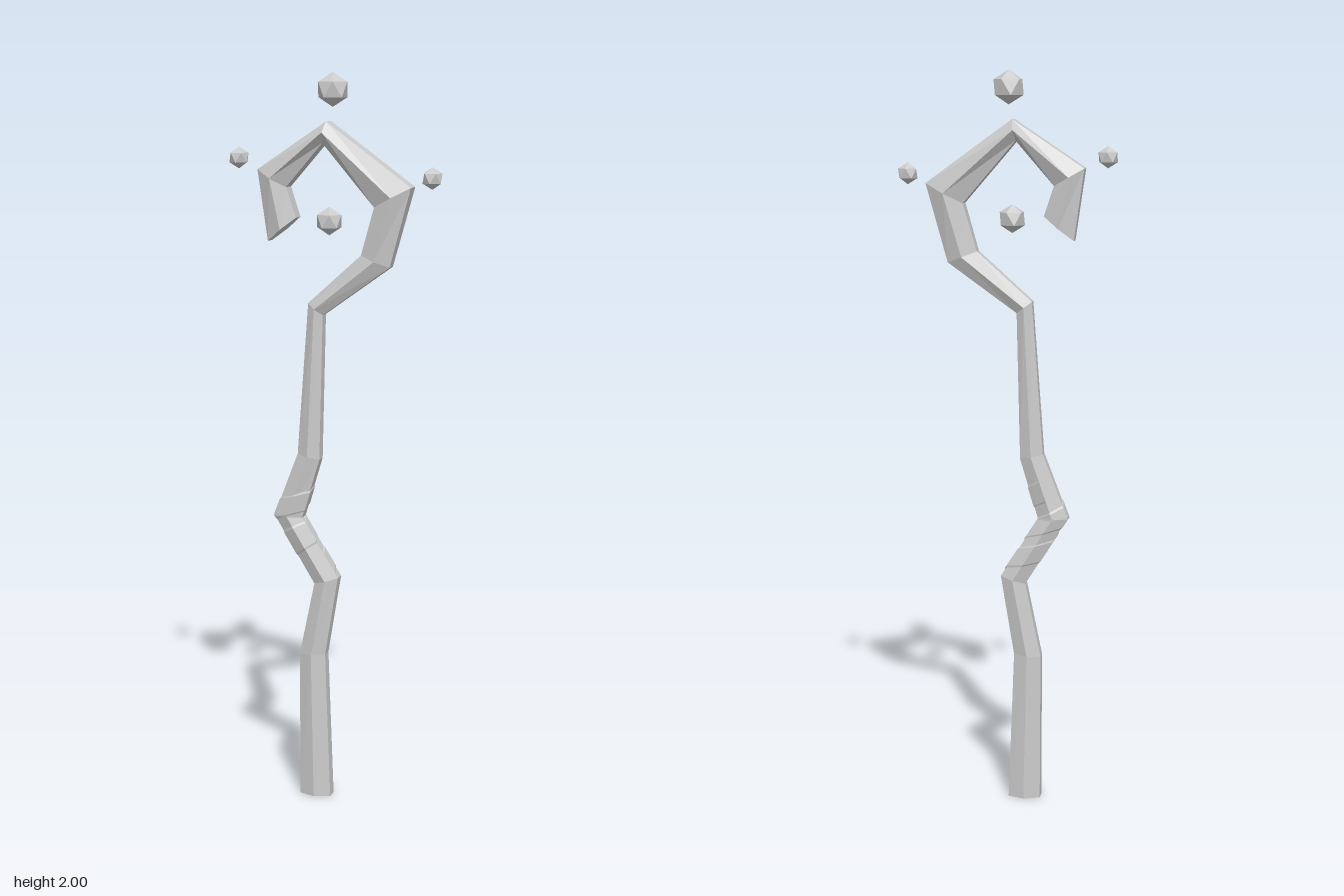
import * as THREE from 'three';

// Shaft cross-sections from foot to tip: [left x, left y, right x, right y, half depth]
const SECTIONS = [
  [-0.097, 0, -0.009, 0, 0.031],
  [-0.098, 0.41, -0.024, 0.415, 0.03],
  [-0.055, 0.617, 0.013, 0.637, 0.03],
  [-0.17, 0.803, -0.09, 0.8, 0.029],
  [-0.102, 0.98, -0.04, 0.966, 0.029],
  [-0.071, 1.393, -0.03, 1.362, 0.028],
  [0.077, 1.525, 0.156, 1.495, 0.032],
  [0.114, 1.652, 0.214, 1.705, 0.042],
  [-0.028, 1.817, -0.018, 1.873, 0.045],
  [-0.13, 1.7, -0.21, 1.746, 0.042],
  [-0.103, 1.62, -0.183, 1.556, 0.036],
];

// Point on the hexagonal shaft: t runs along the sections, k around the six corners
function shaftPoint(t, k, scale = 1) {
  const i = Math.min(Math.floor(t), SECTIONS.length - 2);
  const [lx, ly, rx, ry, depth] = SECTIONS[i].map((v, n) => THREE.MathUtils.lerp(v, SECTIONS[i + 1][n], t - i));
  const corner = (j) => {
    const a = Math.PI / 6 + (j * Math.PI) / 3;
    return [Math.cos(a) / Math.cos(Math.PI / 6), Math.sin(a)];
  };
  const k0 = Math.floor(k);
  const [u0, w0] = corner(k0);
  const [u1, w1] = corner(k0 + 1);
  const u = THREE.MathUtils.lerp(u0, u1, k - k0) * scale;
  const w = THREE.MathUtils.lerp(w0, w1, k - k0) * scale;
  return new THREE.Vector3(
    (lx + rx) / 2 + (u * (rx - lx)) / 2,
    (ly + ry) / 2 + (u * (ry - ly)) / 2,
    w * depth
  );
}

function meshFrom(points, name, side = THREE.FrontSide) {
  const geometry = new THREE.BufferGeometry().setFromPoints(points);
  geometry.computeVertexNormals();
  const material = new THREE.MeshStandardMaterial({ color: 0xcccccc, flatShading: true, side });
  const mesh = new THREE.Mesh(geometry, material);
  mesh.name = name;
  return mesh;
}

// Crooked hexagonal shaft with its curled head, closed at both ends
function createShaft() {
  const points = [];
  const last = SECTIONS.length - 1;
  for (let i = 0; i < last; i++) {
    for (let j = 0; j < 6; j++) {
      const a = shaftPoint(i, j), b = shaftPoint(i, j + 1);
      const c = shaftPoint(i + 1, j + 1), d = shaftPoint(i + 1, j);
      points.push(a, d, b, b, d, c);
    }
  }
  for (let j = 1; j < 5; j++) {
    points.push(shaftPoint(0, 0), shaftPoint(0, j), shaftPoint(0, j + 1));
    points.push(shaftPoint(last, 0), shaftPoint(last, j + 1), shaftPoint(last, j));
  }
  return meshFrom(points, 'shaft');
}

// Thin strip wound around the bend of the shaft, its edges tucked into the surface
function createGripWrap() {
  const points = [];
  const steps = 42, rows = 10, width = 0.38, turns = 2.33;
  const at = (s, r) => {
    const f = s / steps;
    const t = 2.24 + f * 1.22 + (r / rows - 0.5) * width;
    return shaftPoint(t, 6 - f * turns * 6, r === 0 || r === rows ? 0.98 : 1.06);
  };
  for (let s = 0; s < steps; s++) {
    for (let r = 0; r < rows; r++) {
      const a = at(s, r), b = at(s + 1, r), c = at(s + 1, r + 1), d = at(s, r + 1);
      points.push(a, b, d, b, c, d);
    }
  }
  return meshFrom(points, 'gripWrap', THREE.DoubleSide);
}

// Floating faceted crystal with one corner pointing up
function createCrystal(name, x, y, radius, turn) {
  const geometry = new THREE.IcosahedronGeometry(radius, 0);
  geometry.rotateX(-1.017);
  geometry.rotateY(turn);
  const material = new THREE.MeshStandardMaterial({ color: 0xcccccc, flatShading: true });
  const mesh = new THREE.Mesh(geometry, material);
  mesh.name = name;
  mesh.position.set(x, y, 0);
  return mesh;
}

export function createModel() {
  const group = new THREE.Group();
  group.name = 'staff';
  group.add(
    createShaft(),
    createGripWrap(),
    createCrystal('topCrystal', -0.006, 1.955, 0.045, 0.3),
    createCrystal('centreCrystal', -0.016, 1.612, 0.038, 0.3),
    createCrystal('rightCrystal', -0.27, 1.775, 0.029, 0.6),
    createCrystal('leftCrystal', 0.266, 1.729, 0.029, 0.6)
  );
  return group;
}
